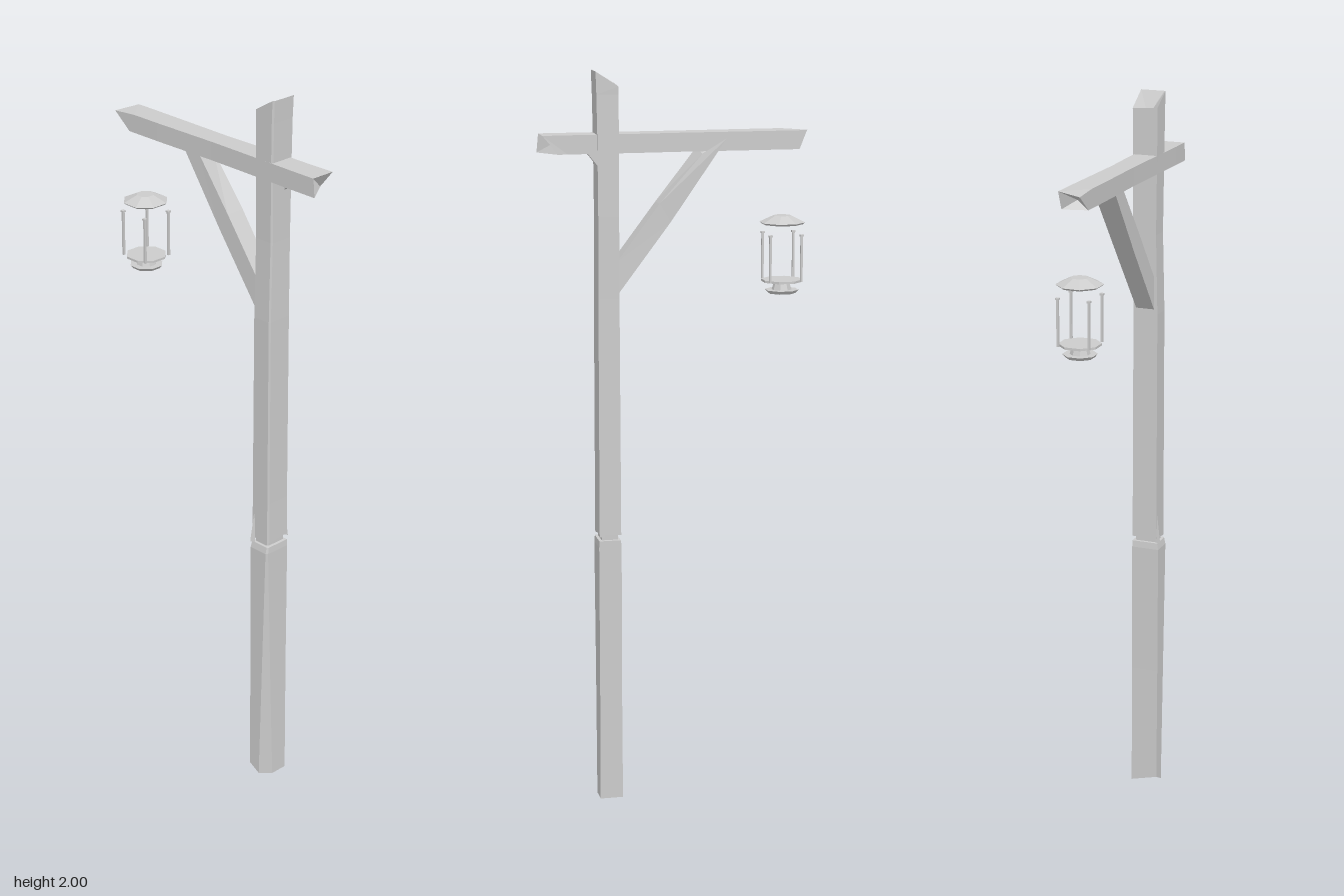
import * as THREE from 'three';

const wood = new THREE.MeshStandardMaterial({ color: 0xcccccc, flatShading: true, side: THREE.DoubleSide });

// Joins rings of corners (counter-clockwise seen from the far end); the caps meet at a sunken or raised point.
function loft(name, rings, startTip, endTip) {
  const pos = [];
  const tri = (a, b, c) => pos.push(...a, ...b, ...c);
  const n = rings[0].length;
  const first = rings[0], last = rings[rings.length - 1];
  for (let i = 0; i < n; i++) {
    const j = (i + 1) % n;
    for (let k = 0; k + 1 < rings.length; k++) {
      const a = rings[k], b = rings[k + 1];
      tri(a[i], a[j], b[j]);
      tri(a[i], b[j], b[i]);
    }
    tri(first[j], first[i], startTip);
    tri(last[i], last[j], endTip);
  }
  const geo = new THREE.BufferGeometry();
  geo.setAttribute('position', new THREE.Float32BufferAttribute(pos, 3));
  geo.computeVertexNormals();
  const mesh = new THREE.Mesh(geo, wood);
  mesh.name = name;
  return mesh;
}

// Post section with a front-left corner chamfer of width c
const postRing = (y, x0, x1, z0, z1, c = 0.004) => [
  [x1, y, z1], [x1, y, z0], [x0, y, z0], [x0, y, z1 - c], [x0 + c, y, z1]];

function createPost() {
  const post = new THREE.Group();
  post.name = 'post';

  const foot = postRing(0, -0.04, 0.037, 0.163, 0.226, 0.027);
  foot[2][1] = 0.02;
  post.add(loft('lowerPost', [
    foot,
    postRing(0.35, -0.041, 0.036, 0.164, 0.225, 0.016),
    postRing(0.72, -0.042, 0.036, 0.163, 0.225, 0.005),
    postRing(0.738, -0.038, 0.036, 0.165, 0.224),
  ], [-0.005, 0.05, 0.195], [0, 0.74, 0.195]));

  // Narrow neck of the crack
  post.add(loft('crackNeck', [
    postRing(0.73, -0.03, 0.028, 0.172, 0.216),
    postRing(0.76, -0.03, 0.028, 0.172, 0.216),
  ], [0, 0.73, 0.195], [0, 0.76, 0.195]));

  const base = postRing(0.752, -0.036, 0.036, 0.164, 0.224);
  base[0][1] = 0.758;
  base[3][1] = 0.746;
  const top = postRing(2, -0.034, 0.037, 0.165, 0.226);
  top[1][1] = 1.96;
  top[2][1] = 1.965;
  post.add(loft('upperPost', [
    base,
    postRing(0.87, -0.036, 0.035, 0.164, 0.223),
    postRing(1.4, -0.036, 0.034, 0.165, 0.222),
    postRing(1.62, -0.031, 0.035, 0.165, 0.221),
    postRing(1.82, -0.033, 0.036, 0.165, 0.222),
    postRing(1.94, -0.034, 0.036, 0.165, 0.224),
    top,
  ], [0, 0.755, 0.195], [0.004, 1.935, 0.19]));
  return post;
}

function createBeam() {
  // Section in x and y at depth z, running from the front to the back
  const ring = (z, x0, x1, y0 = 1.786, y1 = 1.836) => [
    [x1, y1, z], [x1, y0, z], [x0, y0, z], [x0, y1, z]];
  const front = ring(0.367, -0.035, 0.034);
  front[1][2] = 0.325;
  front[2][2] = 0.372;
  const back = ring(-0.365, -0.034, 0.033);
  back[0][2] = -0.345;
  back[1][2] = -0.325;
  back[2][2] = -0.31;
  back[3][1] = 1.83;
  return loft('beam', [
    front, ring(0.3, -0.035, 0.032), ring(0.1, -0.032, 0.032),
    ring(0, -0.031, 0.029), ring(-0.2, -0.034, 0.032), ring(-0.29, -0.034, 0.033), back,
  ], [0.004, 1.815, 0.33], [0, 1.808, -0.3]);
}

function createBrace() {
  return loft('brace', [
    [[0.026, 1.5, 0.168], [0.026, 1.41, 0.168], [-0.026, 1.41, 0.168], [-0.026, 1.5, 0.168]],
    [[0.029, 1.65, 0.055], [0.029, 1.6, 0.025], [-0.025, 1.6, 0.025], [-0.025, 1.65, 0.055]],
    [[0.034, 1.78, -0.06], [0.04, 1.82, -0.125], [-0.024, 1.79, -0.11], [-0.024, 1.79, -0.055]],
  ], [0, 1.455, 0.168], [0.01, 1.79, -0.085]);
}

function createLantern() {
  const lantern = new THREE.Group();
  lantern.name = 'lantern';
  lantern.position.set(0, 0, -0.288);

  // Stacked eight-sided discs: name, top radius, bottom radius, bottom y, height
  const discs = [
    ['roof', 0.024, 0.062, 1.588, 0.018],
    ['roofRim', 0.062, 0.056, 1.583, 0.005],
    ['floorPlate', 0.056, 0.056, 1.427, 0.006],
    ['burner', 0.02, 0.027, 1.405, 0.022],
    ['bottomPlate', 0.046, 0.038, 1.396, 0.009],
  ];
  for (const [name, rTop, rBottom, y, h] of discs) {
    const geo = new THREE.CylinderGeometry(rTop, rBottom, h, 8);
    geo.rotateY(Math.PI / 8);
    const disc = new THREE.Mesh(geo, wood);
    disc.name = name;
    disc.position.y = y + h / 2;
    lantern.add(disc);
  }

  // Four corner rods with small caps
  for (const x of [-0.043, 0.043]) {
    for (const z of [-0.043, 0.043]) {
      const rod = new THREE.Mesh(new THREE.BoxGeometry(0.006, 0.128, 0.006), wood);
      rod.name = 'cornerRod';
      rod.position.set(x, 1.494, z);
      const cap = new THREE.Mesh(new THREE.BoxGeometry(0.01, 0.005, 0.01), wood);
      cap.name = 'rodCap';
      cap.position.set(x, 1.556, z);
      lantern.add(rod, cap);
    }
  }
  return lantern;
}

// Thin wedge of wood standing proud of a face
function splinter(x, y, z, length, side) {
  const mesh = new THREE.Mesh(new THREE.ConeGeometry(0.008, length, 3), wood);
  mesh.name = 'splinter';
  mesh.position.set(x, y, z);
  mesh.rotation.z = side * 0.06;
  return mesh;
}

export function createModel() {
  const model = new THREE.Group();
  model.name = 'lanternPost';
  model.add(createPost(), createBeam(), createBrace(), createLantern());
  model.add(splinter(0.037, 0.79, 0.216, 0.08, 1), splinter(-0.037, 0.79, 0.17, 0.1, -1));
  // Small chip under the beam at the front of the post
  model.add(loft('chip', [
    [[0.033, 1.79, 0.25], [0.033, 1.79, 0.215], [0.01, 1.79, 0.215], [0.01, 1.79, 0.25]].reverse(),
    [[0.033, 1.755, 0.222], [0.033, 1.755, 0.215], [0.01, 1.755, 0.215], [0.01, 1.755, 0.222]].reverse(),
  ], [0.02, 1.79, 0.23], [0.02, 1.755, 0.218]));
  return model;
}
